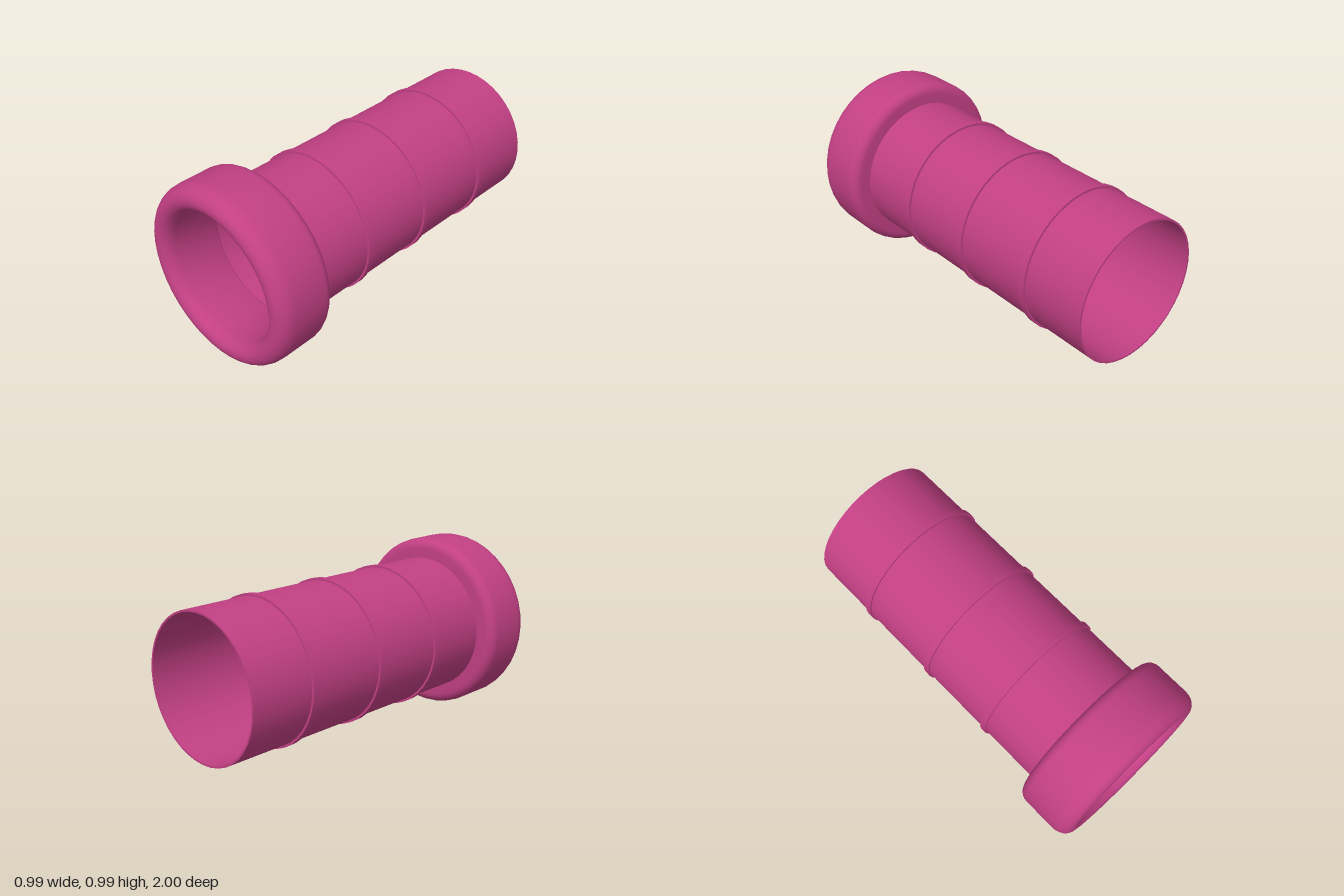
import * as THREE from 'three';
import { toCreasedNormals } from 'three/addons/utils/BufferGeometryUtils.js';

const SIDES = 40;
const AXIS_HEIGHT = 0.496;

export function createModel() {
  const model = new THREE.Group();
  model.name = 'collaredPipe';
  const material = new THREE.MeshStandardMaterial({ color: 0xc24084, side: THREE.DoubleSide });

  // Turn a closed profile (x = radius, y = position along z) around the pipe axis
  function turned(name, profile) {
    const points = [...profile, profile[0].clone()];
    const geometry = toCreasedNormals(new THREE.LatheGeometry(points, SIDES), 0.6);
    geometry.rotateX(Math.PI / 2);
    const mesh = new THREE.Mesh(geometry, material);
    mesh.name = name;
    mesh.position.y = AXIS_HEIGHT;
    model.add(mesh);
  }

  // Hollow cylinder section, counter-clockwise
  const hollow = (inner, outer, z0, z1) => [
    new THREE.Vector2(inner, z0), new THREE.Vector2(outer, z0),
    new THREE.Vector2(outer, z1), new THREE.Vector2(inner, z1),
  ];

  // Quarter-ellipse corner starting at angle `start`
  function corner(cx, cy, rx, ry, start) {
    return Array.from({ length: 7 }, (_, i) => {
      const a = start + (i / 6) * Math.PI / 2;
      return new THREE.Vector2(cx + rx * Math.cos(a), cy + ry * Math.sin(a));
    });
  }

  // Thin-walled main tube, open at the far end
  turned('tube', hollow(0.376, 0.386, -1, 0.7));

  // Raised bands around the tube
  for (const z of [0.295, -0.145, -0.617]) {
    turned('band', hollow(0.38, 0.398, z - 0.017, z + 0.017));
  }

  // Thick collar with softly rounded edges
  turned('collar', [
    ...corner(0.44, 0.72, 0.055, 0.055, -Math.PI / 2),
    ...corner(0.425, 0.91, 0.07, 0.09, 0),
    ...corner(0.42, 0.93, 0.06, 0.07, Math.PI / 2),
    new THREE.Vector2(0.352, 0.68),
    new THREE.Vector2(0.36, 0.665),
  ]);

  return model;
}
